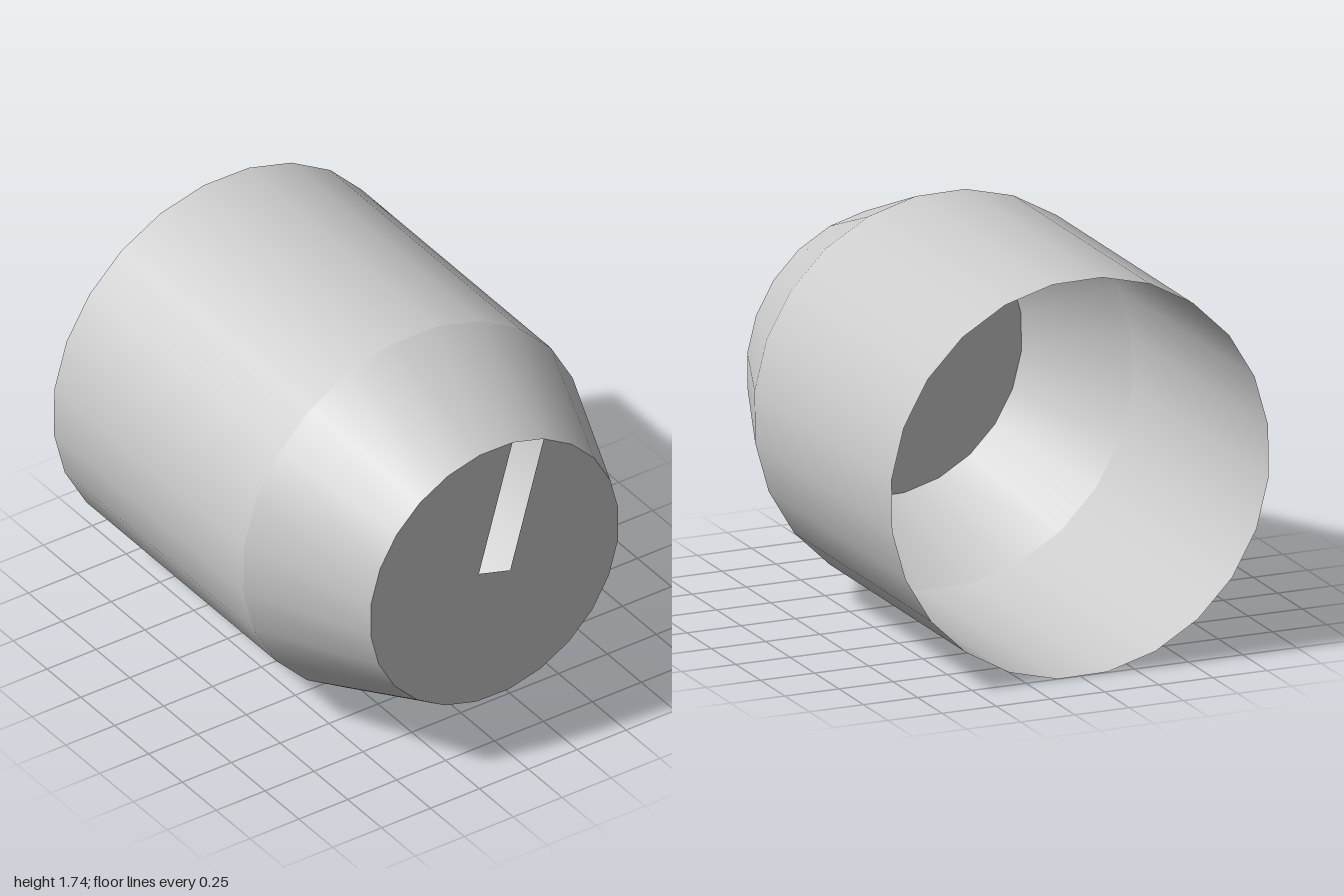
import * as THREE from 'three';

const SIDES = 24;
const OUTER = 0.876, INNER = 0.637, CENTER_Y = 0.87;
const STEP = (Math.PI * 2) / SIDES;
const TWIST = THREE.MathUtils.degToRad(6.7);

const material = new THREE.MeshStandardMaterial({ color: 0xcccccc, side: THREE.DoubleSide });

function addMesh(group, name, geometry) {
  const mesh = new THREE.Mesh(geometry, material);
  mesh.name = name;
  group.add(mesh);
}

// Open tube wall along z, from the back z to the front z
function tubeWall(backRadius, frontRadius, backZ, frontZ) {
  return new THREE.CylinderGeometry(frontRadius, backRadius, frontZ - backZ, SIDES, 1, true, TWIST)
    .rotateX(Math.PI / 2)
    .translate(0, 0, (backZ + frontZ) / 2);
}

// Front disc with a slot one side wide, running from the rim to the centre
function slottedDisc() {
  const points = [];
  for (let i = 0; i < SIDES; i++) {
    const a = TWIST + (5 + i) * STEP;
    points.push(new THREE.Vector2(Math.cos(a), Math.sin(a)).multiplyScalar(INNER));
  }
  const slotAngle = TWIST + 4.5 * STEP;
  const half = INNER * Math.sin(STEP / 2);
  const corner = new THREE.Vector2(Math.sin(slotAngle), -Math.cos(slotAngle)).multiplyScalar(half);
  points.push(corner, corner.clone().negate());
  return new THREE.ShapeGeometry(new THREE.Shape(points)).translate(0, 0, 1);
}

export function createModel() {
  const group = new THREE.Group();
  group.name = 'slottedKnob';
  const knob = new THREE.Group();
  knob.name = 'knob';
  knob.position.y = CENTER_Y;
  group.add(knob);

  addMesh(knob, 'barrel', tubeWall(OUTER, OUTER, -1, 0.4));
  addMesh(knob, 'taperedCollar', tubeWall(OUTER, INNER, 0.4, 1));
  addMesh(knob, 'slottedFace', slottedDisc());
  return group;
}
